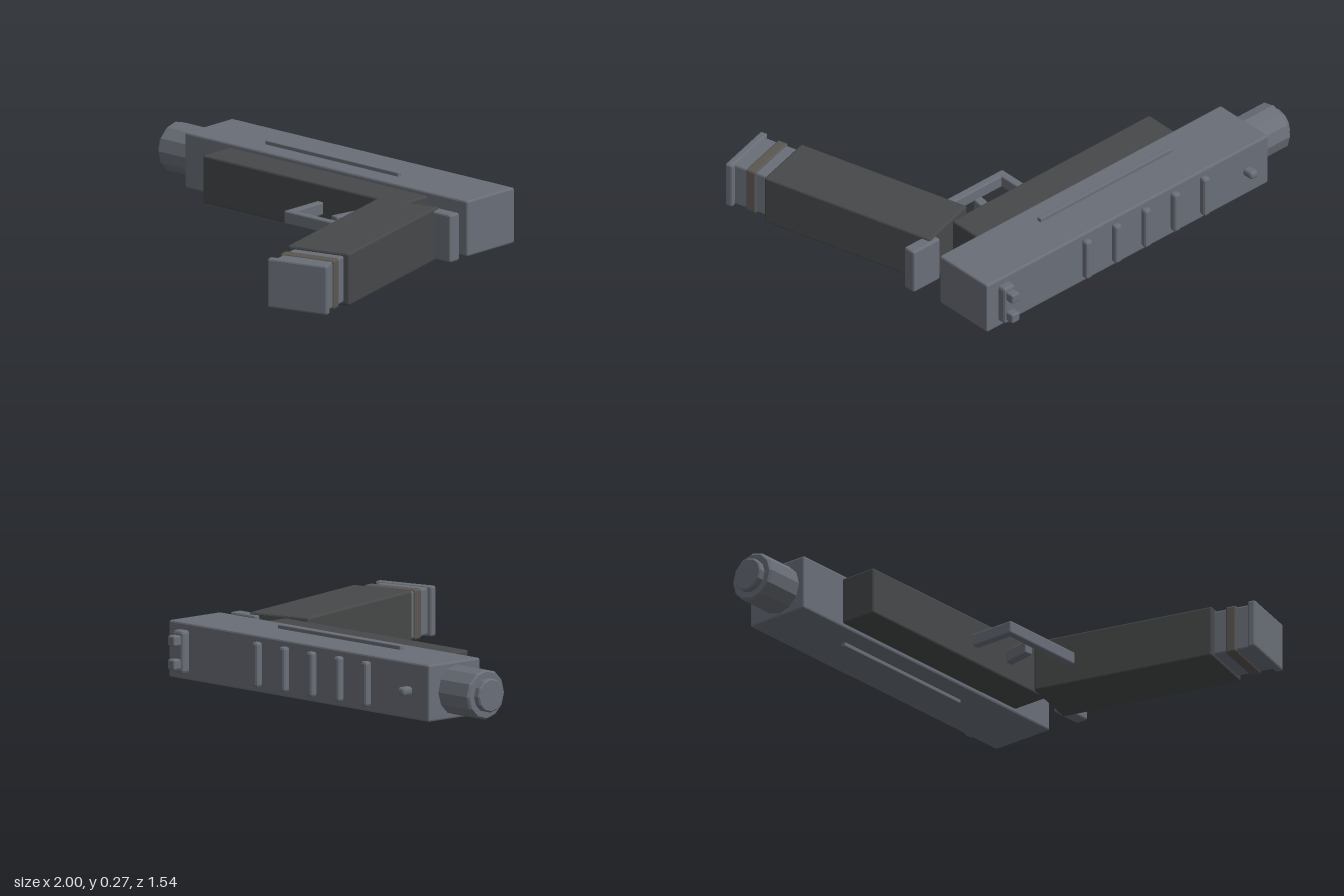
import * as THREE from 'three';
import { RoundedBoxGeometry } from 'three/addons/geometries/RoundedBoxGeometry.js';

const MID = 0.137; // mid-plane height: the pistol lies on its side

const material = (color) =>
  new THREE.MeshStandardMaterial({ color, flatShading: true });

export function createModel() {
  const model = new THREE.Group();
  const steel = material(0x696e77);
  const dark = material(0x464849);
  const bandMat = material(0x5a5652);

  // Box with chamfered edges, centred at (x, y, z)
  function box(parent, name, mat, [w, h, d], [x, y, z], bevel = 0.008) {
    const geometry = new RoundedBoxGeometry(w, h, d, 1, bevel);
    geometry.computeVertexNormals();
    const mesh = new THREE.Mesh(geometry, mat);
    mesh.name = name;
    mesh.position.set(x, y, z);
    parent.add(mesh);
    return mesh;
  }

  // Slide with a thin rail along each flat side
  box(model, 'slide', steel, [1.585, 0.24, 0.293], [0.002, MID, -0.549]);
  for (const side of [-1, 1]) {
    box(model, 'sideRail', steel, [0.745, 0.03, 0.022],
      [-0.048, MID + side * 0.1215, -0.502], 0.003);
  }

  // Cross ribs on the slide's upper face
  for (let i = 0; i < 5; i++) {
    box(model, 'slideRib', steel, [0.036, 0.19, 0.036], [-0.422 + i * 0.166, MID, -0.709], 0.011);
  }

  // Barrel with a narrower muzzle, turned around x
  const profile = [
    [0, 0.77], [0.098, 0.77], [0.106, 0.78], [0.106, 0.963], [0.098, 0.972],
    [0.072, 0.972], [0.072, 0.994], [0.066, 1], [0, 1],
  ].map(([r, y]) => new THREE.Vector2(r, y));
  const barrel = new THREE.Mesh(new THREE.LatheGeometry(profile, 12), steel);
  barrel.name = 'barrel';
  barrel.rotation.z = Math.PI / 2;
  barrel.position.set(0, MID, -0.535);
  model.add(barrel);

  // Sights
  box(model, 'frontSight', steel, [0.04, 0.036, 0.06], [-0.67, MID, -0.717], 0.012);
  box(model, 'rearSightBase', steel, [0.062, 0.18, 0.05], [0.7, MID, -0.71], 0.012);
  for (const side of [-1, 1]) {
    box(model, 'rearSightPost', steel, [0.042, 0.044, 0.065],
      [0.7, MID + side * 0.05, -0.739], 0.007);
  }

  // Frame below the slide
  box(model, 'frame', dark, [1.112, 0.206, 0.17], [0.016, MID, -0.32]);

  // Trigger guard and trigger
  box(model, 'guardFront', steel, [0.036, 0.055, 0.215], [0.119, MID, -0.138], 0.006);
  box(model, 'guardBottom', steel, [0.45, 0.055, 0.036], [0.326, MID, -0.048], 0.006);
  const trigger = box(model, 'trigger', steel, [0.04, 0.055, 0.135], [0.324, MID, -0.175], 0.006);
  trigger.rotation.y = THREE.MathUtils.degToRad(-10);

  // Tail behind the top of the grip
  box(model, 'gripTail', steel, [0.15, 0.206, 0.058], [0.77, MID, -0.269]);

  // Raked grip with the magazine projecting from its end
  const grip = new THREE.Group();
  grip.name = 'gripAssembly';
  grip.position.set(0.708, MID, 0.148);
  grip.rotation.y = THREE.MathUtils.degToRad(15);
  model.add(grip);
  box(grip, 'grip', dark, [0.288, 0.226, 0.818], [0, 0, 0]);
  box(grip, 'magazine', steel, [0.236, 0.2, 0.22], [0, 0, 0.48]);
  box(grip, 'magazineBand', bandMat, [0.252, 0.212, 0.05], [0, 0, 0.487]);
  box(grip, 'magazineBase', steel, [0.278, 0.212, 0.035], [0, 0, 0.588]);

  return model;
}
